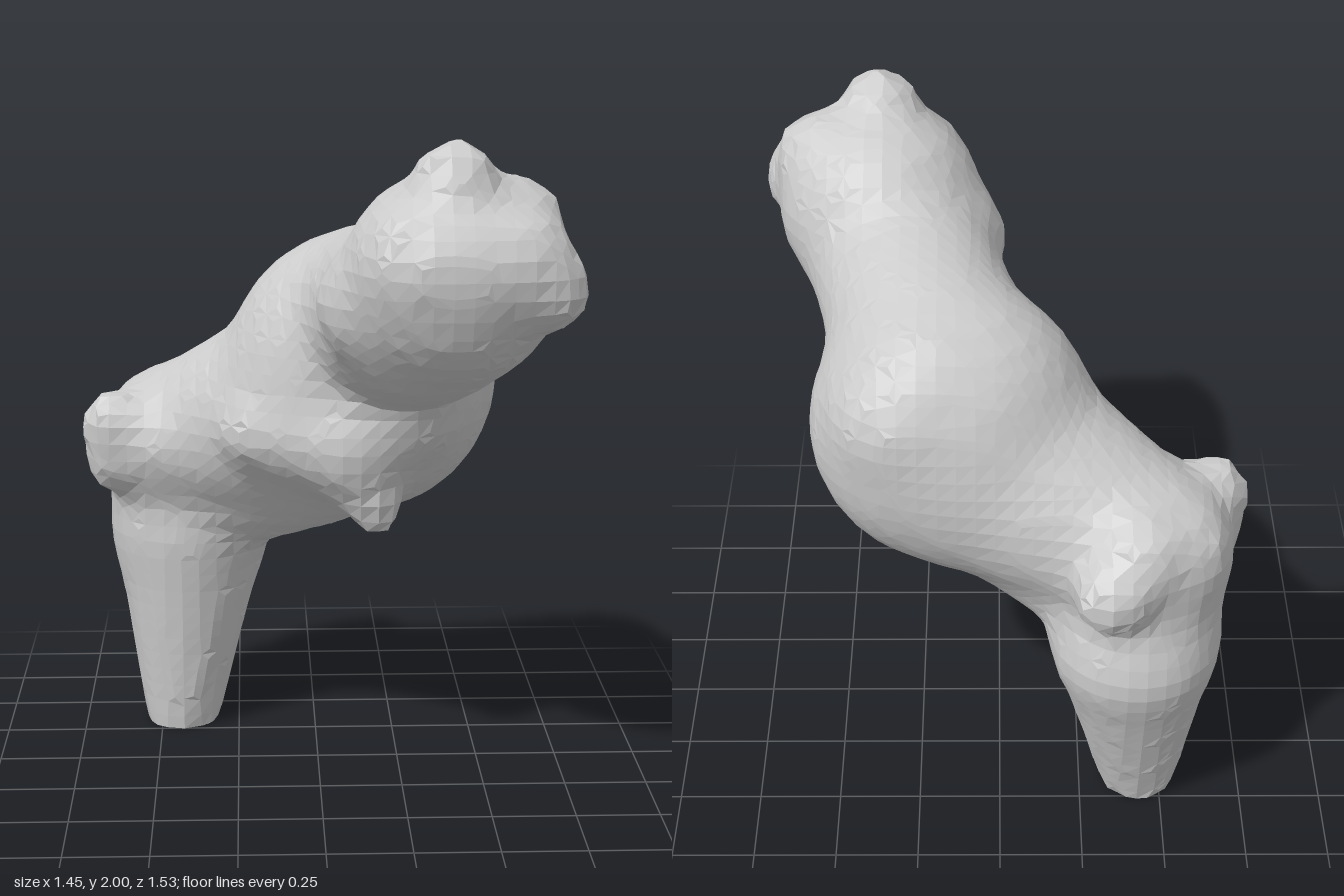
import * as THREE from 'three';

// Distance to an ellipsoid: centre, radii
const blob = (c, r) => (p) => {
  const q = p.map((v, i) => (v - c[i]) / r[i]);
  const k0 = Math.hypot(...q);
  const k1 = Math.hypot(...q.map((v, i) => v / r[i]));
  return k1 < 1e-6 ? -Math.min(...r) : (k0 * (k0 - 1)) / k1;
};
const ball = (c, r) => (p) => Math.hypot(p[0] - c[0], p[1] - c[1], p[2] - c[2]) - r;

// Distance to a limb tapering from radius ra at a to rb at b
const limb = (a, ra, b, rb) => (p) => {
  const d = b.map((v, i) => v - a[i]);
  const l2 = d[0] ** 2 + d[1] ** 2 + d[2] ** 2;
  const dot = d.reduce((s, v, i) => s + v * (p[i] - a[i]), 0);
  const t = Math.min(1, Math.max(0, dot / l2));
  return Math.hypot(...p.map((v, i) => v - a[i] - t * d[i])) - ra - t * (rb - ra);
};

const smoothMin = (a, b, k) => {
  const h = Math.max(k - Math.abs(a - b), 0) / k;
  return Math.min(a, b) - (h * h * k) / 4;
};

const parts = [
  // leg: front and back halves, from below the ground up to the knee
  limb([-0.44, -0.1, -0.34], 0.09, [-0.405, 0.62, -0.41], 0.235),
  limb([-0.44, -0.1, -0.39], 0.09, [-0.405, 0.62, -0.475], 0.245),
  limb([-0.405, 0.62, -0.45], 0.24, [-0.42, 0.92, -0.42], 0.255),
  // knee knobs
  ball([-0.63, 1.02, -0.26], 0.11),
  ball([-0.63, 0.9, -0.27], 0.1),
  ball([-0.47, 0.96, -0.26], 0.14),
  ball([-0.52, 0.99, -0.5], 0.14),
  ball([-0.4, 1.03, -0.57], 0.14),
  ball([-0.32, 0.95, -0.66], 0.115),
  // bridge from knee to trunk, and the web under it
  limb([-0.42, 0.93, -0.4], 0.25, [0, 1.1, -0.21], 0.35),
  limb([-0.35, 0.75, -0.4], 0.19, [0, 0.9, -0.2], 0.195),
  // trunk with its back bulges
  blob([0.14, 1.21, -0.17], [0.42, 0.44, 0.37]),
  ball([0.28, 1.34, -0.32], 0.2),
  ball([0.22, 1.43, -0.27], 0.19),
  // belly ridge and its lower corner
  limb([-0.18, 1.06, 0], 0.12, [0.1, 1.04, 0.06], 0.17),
  limb([0.1, 1.04, 0.06], 0.17, [0.25, 1.15, 0.06], 0.18),
  limb([0.1, 1.02, 0.06], 0.15, [0.17, 0.85, 0.12], 0.085),
  // neck
  limb([0.2, 1.4, -0.05], 0.29, [0.3, 1.49, 0.32], 0.28),
  // head with brow, face and side knobs
  blob([0.36, 1.6, 0.44], [0.31, 0.31, 0.31]),
  ball([0.36, 1.88, 0.53], 0.12),
  limb([0.28, 1.66, 0.59], 0.17, [0.52, 1.66, 0.58], 0.17),
  ball([0.62, 1.59, 0.61], 0.11),
  ball([0.54, 1.76, 0.45], 0.13),
  ball([0.15, 1.52, 0.38], 0.17),
];

// All parts melted together
const field = (p) => parts.reduce((d, f) => smoothMin(d, f(p), 0.05), 9);

// Turns the field into quads: one vertex per crossed cell, one quad per crossed edge
function meshField(min, size, step) {
  const n = size.map((s) => Math.ceil(s / step) + 1);
  const id = (i, j, k) => (k * n[1] + j) * n[0] + i;
  const stride = [1, n[0], n[0] * n[1]];
  const at = (g) => g.map((v, i) => min[i] + v * step);
  const values = new Float32Array(n[0] * n[1] * n[2]);
  const vertexOf = new Map();
  const positions = [], index = [];
  const each = (lo, cut, fn) => {
    for (let k = lo; k < n[2] - cut; k++)
      for (let j = lo; j < n[1] - cut; j++)
        for (let i = lo; i < n[0] - cut; i++) fn([i, j, k], id(i, j, k));
  };
  each(0, 0, (g, c) => { values[c] = field(at(g)); });

  each(0, 1, (g, c) => {
    const sum = [0, 0, 0];
    let hits = 0;
    for (let corner = 0; corner < 8; corner++) {
      const o = [corner & 1, (corner >> 1) & 1, corner >> 2];
      const s = c + o[0] + o[1] * stride[1] + o[2] * stride[2];
      for (let a = 0; a < 3; a++) {
        if (o[a]) continue;
        const v0 = values[s], v1 = values[s + stride[a]];
        if (v0 < 0 === v1 < 0) continue;
        const t = v0 / (v0 - v1);
        for (let m = 0; m < 3; m++) sum[m] += o[m] + (m === a ? t : 0);
        hits++;
      }
    }
    if (!hits) return;
    vertexOf.set(c, positions.length / 3);
    const p = at(g.map((v, m) => v + sum[m] / hits));
    // the foot is pressed flat on the ground
    positions.push(p[0], Math.max(p[1], 0), p[2]);
  });

  each(1, 1, (g, c) => {
    for (let a = 0; a < 3; a++) {
      const inside = values[c] < 0;
      if (inside === values[c + stride[a]] < 0) continue;
      const u = stride[(a + 1) % 3], v = stride[(a + 2) % 3];
      const q = [c - u - v, c - v, c, c - u].map((cell) => vertexOf.get(cell));
      if (!inside) q.reverse();
      index.push(q[0], q[1], q[2], q[0], q[2], q[3]);
    }
  });

  const geometry = new THREE.BufferGeometry();
  geometry.setAttribute('position', new THREE.Float32BufferAttribute(positions, 3));
  geometry.setIndex(index);
  geometry.computeVertexNormals();
  return geometry;
}

export function createModel() {
  const group = new THREE.Group();
  group.name = 'gnarledForm';
  const body = new THREE.Mesh(
    meshField([-0.95, -0.26, -0.95], [1.9, 2.4, 1.9], 0.055),
    new THREE.MeshStandardMaterial({ color: 0xcccccc, flatShading: true })
  );
  body.name = 'legTrunkAndHead';
  group.add(body);
  return group;
}
